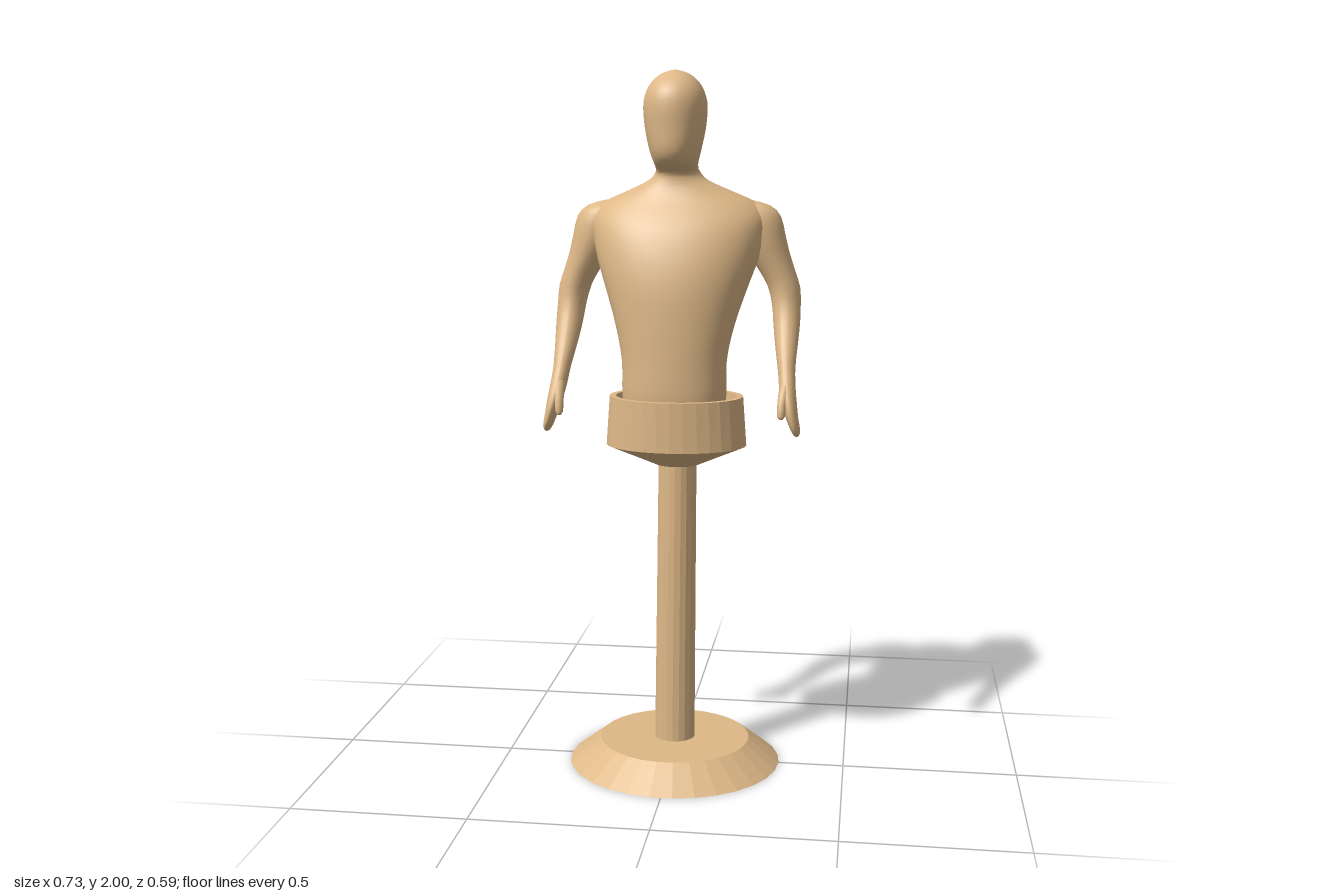
import * as THREE from 'three';

const TAN = 0xdeb887;

// Cubic interpolation through the rows, giving `steps` rings per gap
function smoothRows(rows, steps) {
  const out = [];
  const last = rows.length - 1;
  for (let i = 0; i < last; i++) {
    const [p, a, b, n] = [i - 1, i, i + 1, i + 2].map(k => rows[Math.min(last, Math.max(0, k))]);
    for (let s = 0; s < steps; s++) {
      const t = s / steps;
      out.push(a.map((v, k) => v + 0.5 * t * (b[k] - p[k]
        + t * (2 * p[k] - 5 * v + 4 * b[k] - n[k] + t * (3 * (v - b[k]) + n[k] - p[k])))));
    }
  }
  out.push(rows[last]);
  return out;
}

// Skin over horizontal rings, bottom to top.
// Row: [y, centre x, half width, front z, back z, z of the widest point]
function loft(rows, sides, power = 1) {
  const pos = [], index = [];
  for (const [y, cx, hw, zf, zb, zc] of rows) {
    for (let j = 0; j < sides; j++) {
      const a = j / sides * Math.PI * 2;
      const c = Math.cos(a), s = Math.sin(a);
      const depth = s > 0 ? zf - zc : zc - zb;
      pos.push(cx + hw * Math.sign(c) * Math.abs(c) ** power, y,
        zc + depth * Math.sign(s) * Math.abs(s) ** power);
    }
  }
  const top = (rows.length - 1) * sides;
  const centre = pos.length / 3;
  for (const r of [rows[0], rows[rows.length - 1]]) pos.push(r[1], r[0], (r[3] + r[4]) / 2);
  for (let j = 0; j < sides; j++) {
    const k = (j + 1) % sides;
    for (let o = 0; o < top; o += sides) {
      const a = o + j, b = o + k, c = b + sides, d = a + sides;
      index.push(a, d, b, b, d, c);
    }
    index.push(centre, j, k, centre + 1, top + k, top + j);
  }
  const geo = new THREE.BufferGeometry();
  geo.setAttribute('position', new THREE.Float32BufferAttribute(pos, 3));
  geo.setIndex(index);
  geo.computeVertexNormals();
  return geo;
}

// Plain elliptical ring
const oval = (y, cx, cz, rx, rz) => [y, cx, rx, cz + rz, cz - rz, cz];

function mesh(name, geo, flat = false) {
  if (flat) {
    geo = geo.toNonIndexed();
    geo.computeVertexNormals();
  }
  const m = new THREE.Mesh(geo, new THREE.MeshStandardMaterial({ color: TAN, flatShading: flat }));
  m.name = name;
  return m;
}

function createBody() {
  const rows = [
    // waist and chest
    [1.02, .135, .15, -.07, .04],
    [1.10, .147, .162, -.08, .045],
    [1.20, .148, .162, -.068, .045],
    [1.30, .168, .16, -.10, .03],
    [1.40, .20, .155, -.135, 0],
    [1.48, .228, .14, -.16, -.03],
    [1.55, .245, .115, -.166, -.055],
    // shoulders and neck
    [1.60, .247, .085, -.163, -.07],
    [1.64, .215, .055, -.146, -.075],
    [1.67, .15, .038, -.128, -.065],
    [1.70, .085, .03, -.108, -.045],
    [1.725, .062, .038, -.09, -.03],
    // head
    [1.745, .060, .10, -.076, 0],
    [1.78, .070, .125, -.067, .02],
    [1.84, .083, .13, -.075, .02],
    [1.90, .088, .132, -.085, .02],
    [1.94, .080, .123, -.077, .02],
    [1.97, .062, .098, -.055, .02],
    [1.99, .036, .066, -.022, .02],
    [2.00, .004, .026, .016, .02],
  ].map(([y, ...r]) => [y, .005, ...r]);
  const geo = loft(smoothRows(rows, 3), 48, .93);
  // spine groove down the back
  const p = geo.attributes.position;
  for (let i = 0; i < p.count; i++) {
    const y = p.getY(i);
    if (p.getZ(i) > -.04 || y < 1.12 || y > 1.68) continue;
    const fade = Math.sin((y - 1.12) / .56 * Math.PI);
    p.setZ(i, p.getZ(i) + .014 * fade * Math.exp(-((p.getX(i) / .035) ** 2)));
  }
  geo.computeVertexNormals();
  return mesh('torsoAndHead', geo);
}

function createArm(side) {
  const arm = new THREE.Group();
  arm.name = side > 0 ? 'leftArm' : 'rightArm';
  const limb = [
    // hand
    [1.00, .354, .085, .006, .016],
    [1.015, .351, .088, .013, .032],
    [1.05, .341, .088, .017, .040],
    [1.09, .332, .078, .021, .044],
    [1.13, .325, .060, .023, .042],
    // forearm
    [1.17, .321, .035, .024, .038],
    [1.21, .318, .008, .028, .042],
    [1.25, .316, -.022, .033, .047],
    [1.30, .314, -.054, .038, .051],
    [1.35, .311, -.078, .041, .054],
    // upper arm and shoulder
    [1.40, .303, -.090, .046, .060],
    [1.45, .281, -.091, .052, .064],
    [1.50, .256, -.089, .061, .070],
    [1.55, .236, -.086, .069, .074],
    [1.60, .224, -.084, .068, .069],
    [1.63, .212, -.083, .050, .050],
    [1.645, .200, -.083, .010, .010],
  ];
  const thumb = [
    [1.05, .312, .122, .003, .003],
    [1.06, .312, .120, .011, .011],
    [1.10, .314, .106, .013, .016],
    [1.14, .319, .076, .014, .020],
    [1.16, .321, .055, .008, .010],
  ];
  const skin = (rows, sides) => loft(
    smoothRows(rows.map(([y, x, ...r]) => oval(y, side * x, ...r)), 2), sides);
  arm.add(mesh('armAndHand', skin(limb, 24)), mesh('thumb', skin(thumb, 10)));
  return arm;
}

function createStand() {
  const stand = new THREE.Group();
  stand.name = 'stand';
  const base = mesh('base', loft([
    oval(0, 0, 0, .31, .296), oval(.07, 0, 0, .22, .211)], 30), true);
  const pole = mesh('pole', loft([
    oval(.06, 0, -.002, .059, .056), oval(.91, .008, -.002, .055, .056)], 20), true);
  // waist holder: cone underneath, upright band, shallow recess inside the rim
  const cup = mesh('waistHolder', loft([
    oval(.895, .008, -.002, .062, .056),
    oval(.96, .01, .04, .2, .15),
    oval(1.10, .01, .04, .19, .15),
    oval(1.10, .01, .04, .172, .133),
    oval(1.06, .01, .04, .168, .13)], 32), true);
  stand.add(base, pole, cup);
  return stand;
}

export function createModel() {
  const model = new THREE.Group();
  model.name = 'torsoDummy';
  model.add(createStand(), createBody(), createArm(1), createArm(-1));
  return model;
}
